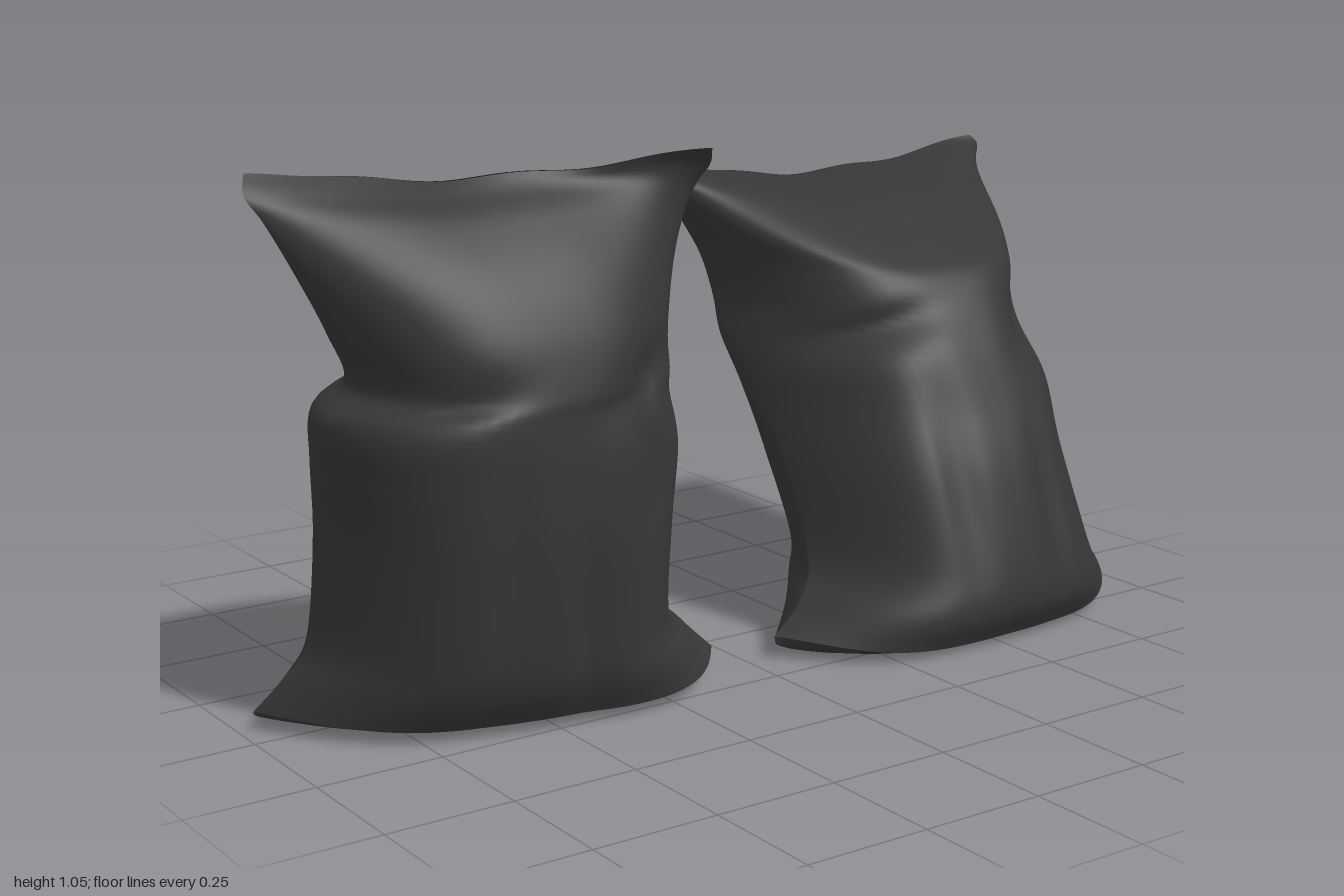
import * as THREE from 'three';

const material = new THREE.MeshStandardMaterial({ color: 0x363636, side: THREE.DoubleSide });

// Rows from bottom to top: edge height, x of both side seams, seam z, front z, back z, sag at mid-width
const rightSack = {
  floor: 0.015, skew: 0.09, frontFullness: 0.5,
  rows: [
    [0.035, -0.97, -0.06, 0.02, 0.25, -0.17, 0.012],
    [0.10, -0.92, -0.12, 0.02, 0.29, -0.23, 0.01],
    [0.17, -0.88, -0.17, 0.02, 0.31, -0.255, 0],
    [0.36, -0.865, -0.17, 0.03, 0.33, -0.27, 0],
    [0.50, -0.87, -0.155, 0.04, 0.33, -0.265, 0],
    [0.60, -0.87, -0.175, 0.05, 0.325, -0.24, 0],
    [0.65, -0.805, -0.175, 0.06, 0.32, -0.22, 0],
    [0.75, -0.85, -0.165, 0.07, 0.29, -0.17, 0],
    [0.86, -0.91, -0.14, 0.08, 0.235, -0.11, 0.01],
    [0.96, -0.965, -0.115, 0.09, 0.155, -0.02, 0.02],
    [1.01, -0.995, -0.10, 0.10, 0.095, 0.03, 0.025],
    [1.045, -0.98, -0.115, 0.10, 0.065, 0.055, 0.035]],
  // side, u, y, width, height, slope, depth
  dents: [
    [1, 0.6, 0.66, 0.3, 0.05, 0.12, 0.035], [1, -0.75, 0.62, 0.3, 0.035, 0.12, 0.025],
    [1, 0.55, 0.45, 0.1, 0.16, 0, 0.03], [1, -0.3, 0.3, 0.12, 0.2, 0, 0.015],
    [1, 0.15, 0.2, 0.1, 0.18, 0, 0.015], [-1, -0.35, 0.43, 0.4, 0.035, 0.1, 0.02],
    [-1, 0.5, 0.62, 0.35, 0.05, -0.15, 0.02], [-1, -0.6, 0.7, 0.3, 0.06, 0.2, 0.03]],
};
const leftSack = {
  floor: 0, skew: -0.025, frontFullness: 0.3,
  rows: [
    [0.045, 0.06, 0.99, 0.135, 0.35, -0.16, 0.03],
    [0.10, 0.13, 0.93, 0.13, 0.385, -0.225, 0.02],
    [0.17, 0.19, 0.89, 0.09, 0.375, -0.25, 0],
    [0.35, 0.20, 0.87, 0.00, 0.32, -0.34, 0],
    [0.48, 0.20, 0.89, -0.10, 0.26, -0.38, 0],
    [0.58, 0.195, 0.875, -0.19, 0.21, -0.39, 0],
    [0.66, 0.20, 0.895, -0.24, 0.16, -0.385, 0.01],
    [0.75, 0.18, 0.925, -0.27, 0.11, -0.37, 0.03],
    [0.83, 0.135, 0.95, -0.285, 0.05, -0.35, 0.07],
    [0.89, 0.09, 0.965, -0.285, -0.09, -0.325, 0.055],
    [0.925, 0.06, 0.975, -0.285, -0.2, -0.31, 0.045],
    [0.945, 0.08, 0.96, -0.285, -0.30, -0.305, 0.045]],
  dents: [
    [1, -0.75, 0.6, 0.4, 0.035, 0.12, 0.06], [1, 0.6, 0.62, 0.2, 0.07, 0.1, 0.04],
    [1, -0.35, 0.35, 0.12, 0.2, 0, 0.02], [1, 0.3, 0.25, 0.1, 0.18, 0, 0.015],
    [1, 0.65, 0.4, 0.12, 0.15, 0, 0.025], [-1, -0.5, 0.6, 0.3, 0.04, 0.15, 0.015],
    [-1, 0.1, 0.25, 0.12, 0.15, 0, 0.015]],
};

// Grid surface from a point rule over s, t in 0..1
function panel(name, rule, ns, nt, flip) {
  const pos = [], index = [];
  for (let j = 0; j <= nt; j++)
    for (let i = 0; i <= ns; i++) pos.push(...rule(i / ns, j / nt));
  for (let j = 0; j < nt; j++)
    for (let i = 0; i < ns; i++) {
      const a = j * (ns + 1) + i, b = a + 1, c = a + ns + 1, d = c + 1;
      index.push(...(flip ? [a, c, b, b, c, d] : [a, b, c, b, d, c]));
    }
  const geometry = new THREE.BufferGeometry();
  geometry.setAttribute('position', new THREE.Float32BufferAttribute(pos, 3));
  geometry.setIndex(index);
  geometry.computeVertexNormals();
  const mesh = new THREE.Mesh(geometry, material);
  mesh.name = name;
  return mesh;
}

function buildSack(name, { floor, skew, frontFullness, rows, dents }) {
  const last = rows.length - 1;
  const profile = new THREE.CubicInterpolant(
    rows.map((_, i) => i), rows.flat(), 7, new Float32Array(7));

  // Point on the front (side 1) or back (side -1) cloth; hem and mouth are twisted, the belly is not
  const cloth = (side) => (s, t) => {
    const [ye, x0, x1, ze, zf, zb, sag] = profile.evaluate(t * last);
    const u = -Math.cos(Math.PI * s);
    const power = side > 0 ? 3.8 - 1.4 * t : 2 + 0.4 * t;
    const lens = Math.max(0, 1 - Math.abs(u) ** power);
    const fullness = side > 0 ? frontFullness : 0.5;
    const bulge = lens ** (1.1 - fullness * Math.sin(Math.PI * t));
    const y = ye - sag * lens ** 1.6 + 0.005 * t ** 6 * lens * Math.sin(u * 9);
    const twist = skew * (2 * t - 1) ** 2;
    let z = ze + u * twist + ((side > 0 ? zf : zb) - ze) * bulge;
    for (const [face, du, dy, wu, wy, slope, depth] of dents) {
      if (face !== side) continue;
      const a = (u - du) / wu, b = (y - dy - slope * (u - du)) / wy;
      z -= side * depth * bulge * Math.exp(-a * a - b * b);
    }
    return [x0 + (x1 - x0) * (u + 1) / 2, y, z];
  };
  const front = cloth(1), back = cloth(-1);

  // Flattened base between the two lower hems
  const base = (s, t) => {
    const f = front(s, 0), b = back(s, 0);
    const press = (1 - (2 * t - 1) ** 4) * Math.sin(Math.PI * s) ** 0.5;
    const y = f[1] + (b[1] - f[1]) * t;
    return [f[0], y + (floor - y) * press, f[2] + (b[2] - f[2]) * t];
  };

  const sack = new THREE.Group();
  sack.name = name;
  sack.add(
    panel('frontCloth', front, 48, 66, false),
    panel('backCloth', back, 48, 66, true),
    panel('base', base, 48, 10, true));
  return sack;
}

export function createModel() {
  const model = new THREE.Group();
  model.name = 'sacks';
  model.add(buildSack('rightSack', rightSack), buildSack('leftSack', leftSack));
  return model;
}
